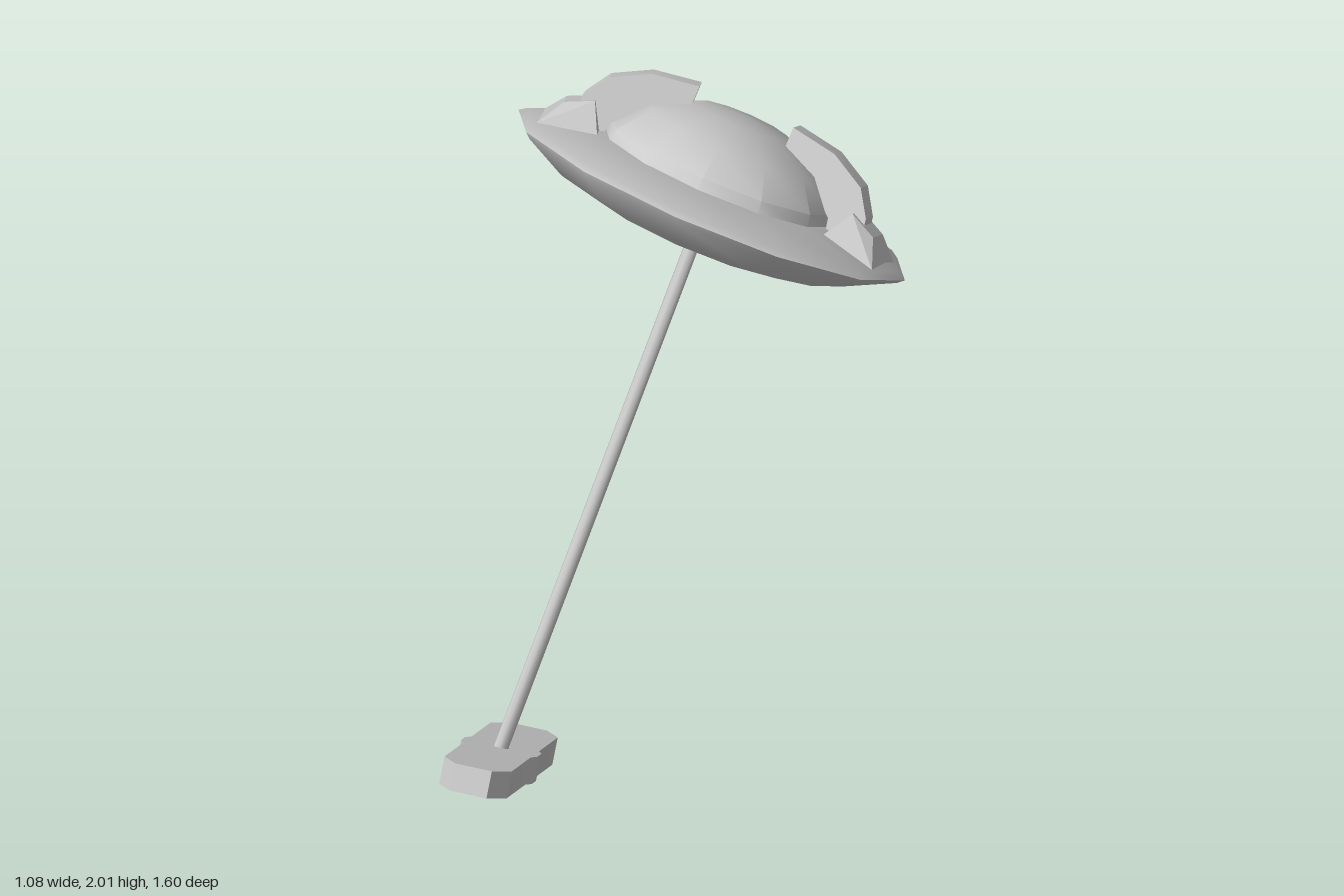
import * as THREE from 'three';
import { toCreasedNormals } from 'three/addons/utils/BufferGeometryUtils.js';
import { ConvexGeometry } from 'three/addons/geometries/ConvexGeometry.js';

const V = (x, y, z) => new THREE.Vector3(x, y, z);
const material = new THREE.MeshStandardMaterial({ color: 0xcccccc });

function part(name, geometry, parent) {
  const mesh = new THREE.Mesh(geometry, material);
  mesh.name = name;
  parent.add(mesh);
  return mesh;
}

// Group whose local y is `up` and whose local z lies along `forward`
function tiltedGroup(name, position, up, forward, parent) {
  const y = up.normalize();
  const x = y.clone().cross(forward).normalize();
  const z = x.clone().cross(y);
  const group = new THREE.Group();
  group.name = name;
  group.quaternion.setFromRotationMatrix(new THREE.Matrix4().makeBasis(x, y, z));
  group.position.copy(position);
  parent.add(group);
  return group;
}

// Twelve-sided turned part, profile given from the bottom centre outwards and up
function turned(profile, crease) {
  const points = profile.map(([r, h]) => new THREE.Vector2(r, h));
  return toCreasedNormals(new THREE.LatheGeometry(points, 12, THREE.MathUtils.degToRad(10)), crease);
}

function extruded(points, depth) {
  const shape = new THREE.Shape(points.map(([x, y]) => new THREE.Vector2(x, y)));
  const geometry = new THREE.ExtrudeGeometry(shape, { depth, bevelEnabled: false });
  geometry.translate(0, 0, -depth / 2);
  return toCreasedNormals(geometry, 0.4);
}

export function createModel() {
  const model = new THREE.Group();
  model.name = 'saucerOnStick';

  // Flat handle: bar with clipped ends and a slight swelling in the middle
  const grip = tiltedGroup('handle', V(-0.337, 0.244, 0.36), V(0.03, 0.895, -0.445), V(0.185, 0.432, 0.883), model);
  const quarter = [[0.104, 0.035], [0.092, 0.07], [0.092, 0.385], [0.05, 0.465]];
  const half = [...quarter, ...quarter.map(([x, y]) => [-x, y]).reverse()];
  const outline = [...half, ...half.map(([x, y]) => [-x, -y])];
  part('handleBar', extruded(outline, 0.074).rotateX(-Math.PI / 2), grip);

  // Slanted pole
  const foot = V(-0.342, 0.25, 0.359), tip = V(0, 1.7, -0.303);
  const axis = tip.clone().sub(foot);
  const pole = part('pole', toCreasedNormals(new THREE.CylinderGeometry(0.02, 0.02, axis.length(), 8), 0.9), model);
  pole.position.copy(foot).addScaledVector(axis, 0.5);
  pole.quaternion.setFromUnitVectors(V(0, 1, 0), axis.normalize());

  // Saucer: dished underside, thin rim and gently rising brim
  const head = tiltedGroup('saucer', V(0, 1.7, -0.313), V(0.222, 0.854, -0.471), V(0, 0.483, 0.876), model);
  part('brim', turned([
    [0, -0.045], [0.12, -0.06], [0.3, -0.11], [0.42, -0.08], [0.545, -0.015],
    [0.562, 0], [0.54, 0.015], [0.32, 0.055], [0, 0.055],
  ], 0.5), head);

  // Dome
  part('dome', turned([
    [0.335, 0.04], [0.325, 0.085], [0.255, 0.165], [0.13, 0.217], [0, 0.23],
  ], 0.65), head);

  // Two arched straps over the dome, each on a flared foot
  const strapProfile = [
    [0.14, 0.19], [0.25, 0.14], [0.32, 0.08], [0.33, 0.03], [0.43, 0.03],
    [0.415, 0.12], [0.37, 0.19], [0.27, 0.243], [0.14, 0.262],
  ];
  for (const [side, angle] of [['left', 6], ['right', 196]]) {
    const strap = new THREE.Group();
    strap.name = side + 'Strap';
    strap.rotation.y = THREE.MathUtils.degToRad(angle);
    head.add(strap);
    part('arch', extruded(strapProfile, 0.08), strap);
    const corners = [];
    for (const s of [-1, 1]) {
      corners.push(V(0.33, 0.03, s * 0.12), V(0.5, 0.015, s * 0.125),
        V(0.38, 0.12, s * 0.055), V(0.455, 0.085, s * 0.055));
    }
    part('strapFoot', new ConvexGeometry(corners), strap);
  }

  return model;
}
